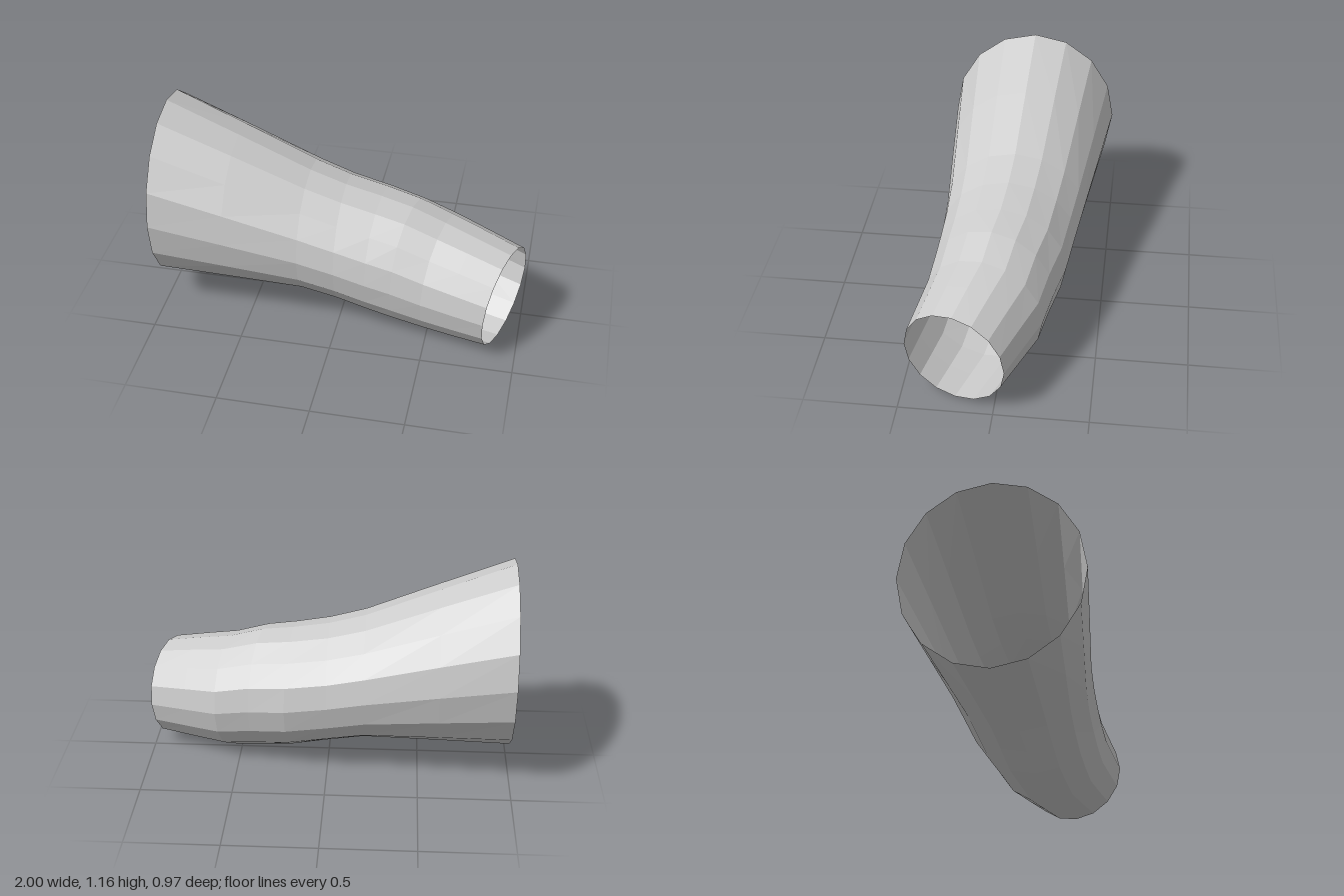
import * as THREE from 'three';

const SIDES = 16;

// Cross-sections: centre x, y, z, half height, half depth, x lean at top, x lean at front
const RINGS = [
  [-1.0, 0.65, -0.012, 0.515, 0.473, 0, 0],
  [-0.6, 0.57, 0.003, 0.433, 0.431, 0, 0],
  [-0.2, 0.487, 0.018, 0.35, 0.388, 0, 0],
  [0.0, 0.438, 0.032, 0.34, 0.372, 0, 0],
  [0.2, 0.395, 0.05, 0.345, 0.36, 0, -0.03],
  [0.37, 0.366, 0.078, 0.344, 0.338, 0.005, -0.06],
  [0.55, 0.327, 0.105, 0.324, 0.325, 0.01, -0.07],
  [0.72, 0.308, 0.156, 0.304, 0.299, 0.014, -0.08],
  [0.91, 0.288, 0.212, 0.278, 0.272, 0.018, -0.087],
];

// Lofts an open tube through the cross-sections
function loft(rings) {
  const positions = [];
  const indices = [];
  for (const [x, y, z, ry, rz, leanY, leanZ] of rings) {
    for (let i = 0; i < SIDES; i++) {
      const a = (i / SIDES) * Math.PI * 2;
      const c = Math.cos(a), s = Math.sin(a);
      positions.push(x + leanY * c + leanZ * s, y + ry * c, z + rz * s);
    }
  }
  for (let r = 0; r < rings.length - 1; r++) {
    for (let i = 0; i < SIDES; i++) {
      const j = (i + 1) % SIDES;
      const a = r * SIDES + i, b = r * SIDES + j;
      const c = a + SIDES, d = b + SIDES;
      indices.push(a, b, c, b, d, c);
    }
  }
  const geometry = new THREE.BufferGeometry();
  geometry.setAttribute('position', new THREE.Float32BufferAttribute(positions, 3));
  geometry.setIndex(indices);
  geometry.computeVertexNormals();
  return geometry;
}

export function createModel() {
  const grey = new THREE.MeshStandardMaterial({
    color: 0xcccccc, flatShading: true, side: THREE.DoubleSide,
  });
  grey.name = 'light grey';

  // Flared sleeve, open at both ends
  const sleeve = new THREE.Mesh(loft(RINGS), grey);
  sleeve.name = 'sleeve';

  const model = new THREE.Group();
  model.name = 'flaredSleeve';
  model.add(sleeve);
  return model;
}
